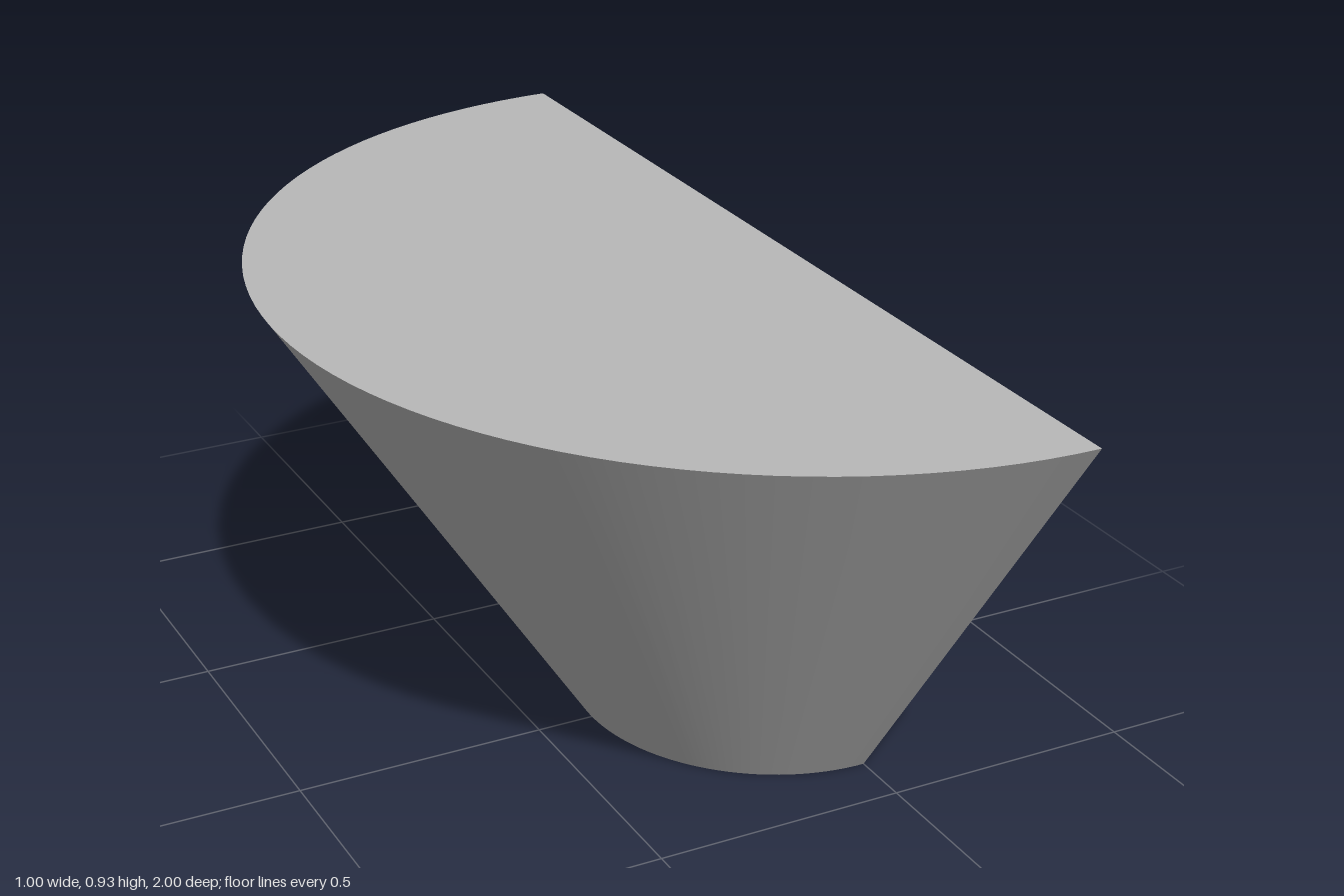
import * as THREE from 'three';

const TOP_R = 1, BOTTOM_R = 0.385, HEIGHT = 0.925, FLAT_X = 0.5;

export function createModel() {
  const group = new THREE.Group();
  group.name = 'halfCone';
  const grey = new THREE.MeshStandardMaterial({ color: 0xb8b8b8 });
  grey.name = 'light grey';

  // Half of a truncated cone with its top and bottom caps, bulging towards -x
  const body = new THREE.Mesh(
    new THREE.CylinderGeometry(TOP_R, BOTTOM_R, HEIGHT, 64, 1, false, Math.PI, Math.PI), grey);
  body.name = 'curvedBody';
  body.position.set(FLAT_X, HEIGHT / 2, 0);

  // Flat trapezoid closing the cut side, facing +x
  const outline = new THREE.Shape([
    new THREE.Vector2(-BOTTOM_R, 0), new THREE.Vector2(BOTTOM_R, 0),
    new THREE.Vector2(TOP_R, HEIGHT), new THREE.Vector2(-TOP_R, HEIGHT),
  ]);
  const face = new THREE.Mesh(new THREE.ShapeGeometry(outline).rotateY(Math.PI / 2), grey);
  face.name = 'flatSide';
  face.position.x = FLAT_X;

  group.add(body, face);
  return group;
}
